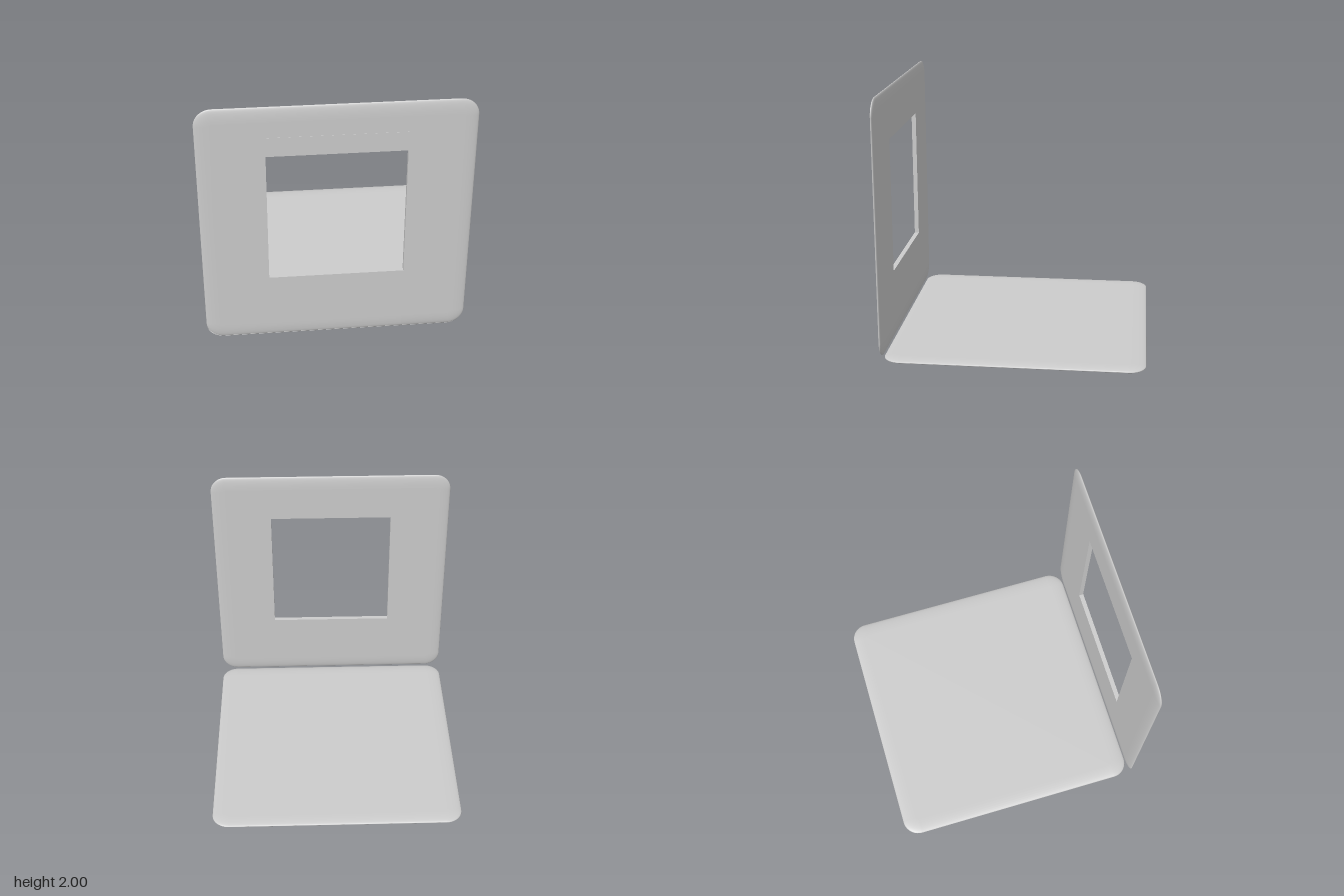
import * as THREE from 'three';
import { mergeGeometries, mergeVertices } from 'three/addons/utils/BufferGeometryUtils.js';

const SIZE = 1.97, HALF = SIZE / 2;
const THICK = 0.0175;   // half thickness of a plate
const TAPER = 0.11;     // width of the soft edge
const CORNER = 0.13;    // corner radius
const WINDOW = { x: 0.5, y0: 0.57, y1: 1.615 };
const PLATE_Y = 2 - HALF; // centre height of the upright plate

const material = new THREE.MeshStandardMaterial({ color: 0xcccccc });

// Rounded square outline, counter-clockwise, pulled in by inset
function outline(inset) {
  const points = [], r = CORNER - inset, c = HALF - CORNER, steps = 10;
  for (let q = 0; q < 4; q++) {
    const sx = q === 0 || q === 3 ? 1 : -1, sy = q < 2 ? 1 : -1;
    for (let i = 0; i <= steps; i++) {
      const a = (q + i / steps) * Math.PI / 2;
      points.push(new THREE.Vector2(sx * c + r * Math.cos(a), sy * c + r * Math.sin(a)));
    }
  }
  return points;
}

// Pillow-edged plate in the XY plane, with an optional rectangular window
function plateGeometry(window) {
  const rings = 16, pos = [], index = [];
  const n = outline(0).length;
  for (let k = 0; k <= rings; k++) {
    const t = (k / rings - 0.5) * Math.PI;
    for (const p of outline(TAPER * (1 - Math.cos(t)))) pos.push(p.x, p.y, THICK * Math.sin(t));
  }
  for (let k = 0; k < rings; k++) for (let i = 0; i < n; i++) {
    const a = k * n + i, b = k * n + (i + 1) % n;
    index.push(a, b, b + n, a, b + n, a + n);
  }
  const edge = new THREE.BufferGeometry();
  edge.setAttribute('position', new THREE.Float32BufferAttribute(pos, 3));
  edge.setIndex(index);

  // Flat faces
  const shape = new THREE.Shape(outline(TAPER));
  if (window) {
    const y0 = window.y0 - PLATE_Y, y1 = window.y1 - PLATE_Y, x = window.x;
    shape.holes.push(new THREE.Path([
      new THREE.Vector2(-x, y0), new THREE.Vector2(-x, y1),
      new THREE.Vector2(x, y1), new THREE.Vector2(x, y0)]));
  }
  const front = new THREE.ShapeGeometry(shape).translate(0, 0, THICK);
  const back = new THREE.ShapeGeometry(shape).translate(0, 0, -THICK);
  back.index.array.reverse();
  for (const g of [front, back]) { g.deleteAttribute('uv'); g.deleteAttribute('normal'); }

  const plate = mergeVertices(mergeGeometries([edge, front, back]), 1e-5);
  plate.computeVertexNormals();
  return plate;
}

// Thin panel that follows the plate's front surface between two heights
function insertPanel(name, y0, y1) {
  const lift = 0.0015, steps = 24, shape = new THREE.Shape();
  const surface = y => {
    const d = Math.min(1, Math.max(0, (y - (PLATE_Y - HALF)) / TAPER));
    return THICK * Math.sqrt(1 - (1 - d) ** 2);
  };
  shape.moveTo(0, y0);
  for (let i = 0; i <= steps; i++) {
    const y = y0 + (y1 - y0) * (i / steps) ** 2;
    shape.lineTo(-surface(y) - lift, y);
  }
  shape.lineTo(0, y1);
  const g = new THREE.ExtrudeGeometry(shape, { depth: WINDOW.x * 2, bevelEnabled: false });
  g.translate(0, -PLATE_Y, -WINDOW.x).rotateY(Math.PI / 2);
  const mesh = new THREE.Mesh(g, material);
  mesh.name = name;
  return mesh;
}

// Four inner walls of the window
function windowWalls() {
  const w = WINDOW.x * 2, h = WINDOW.y1 - WINDOW.y0, walls = [];
  for (const s of [-1, 1]) {
    walls.push(new THREE.PlaneGeometry(THICK * 2, h).rotateY(-s * Math.PI / 2).translate(s * w / 2, 0, 0));
    walls.push(new THREE.PlaneGeometry(w, THICK * 2).rotateX(s * Math.PI / 2).translate(0, s * h / 2, 0));
  }
  const g = mergeGeometries(walls).translate(0, (WINDOW.y0 + WINDOW.y1) / 2 - PLATE_Y, 0);
  const mesh = new THREE.Mesh(g, material);
  mesh.name = 'windowWalls';
  return mesh;
}

export function createModel() {
  const model = new THREE.Group();
  model.name = 'standingFrame';

  // Upright plate with its window and front panels
  const upright = new THREE.Group();
  upright.name = 'uprightFrame';
  const frame = new THREE.Mesh(plateGeometry(WINDOW), material);
  frame.name = 'framePlate';
  upright.add(frame, windowWalls(),
    insertPanel('lowerInsert', 0.05, WINDOW.y0),
    insertPanel('upperInsert', WINDOW.y1, 1.765));
  upright.position.set(0, PLATE_Y, 1 - THICK - 0.0015);
  model.add(upright);

  // Base plate lying behind it
  const base = new THREE.Mesh(plateGeometry(null), material);
  base.name = 'basePlate';
  base.rotation.x = -Math.PI / 2;
  base.position.set(0, THICK, HALF - 1);
  model.add(base);

  return model;
}
